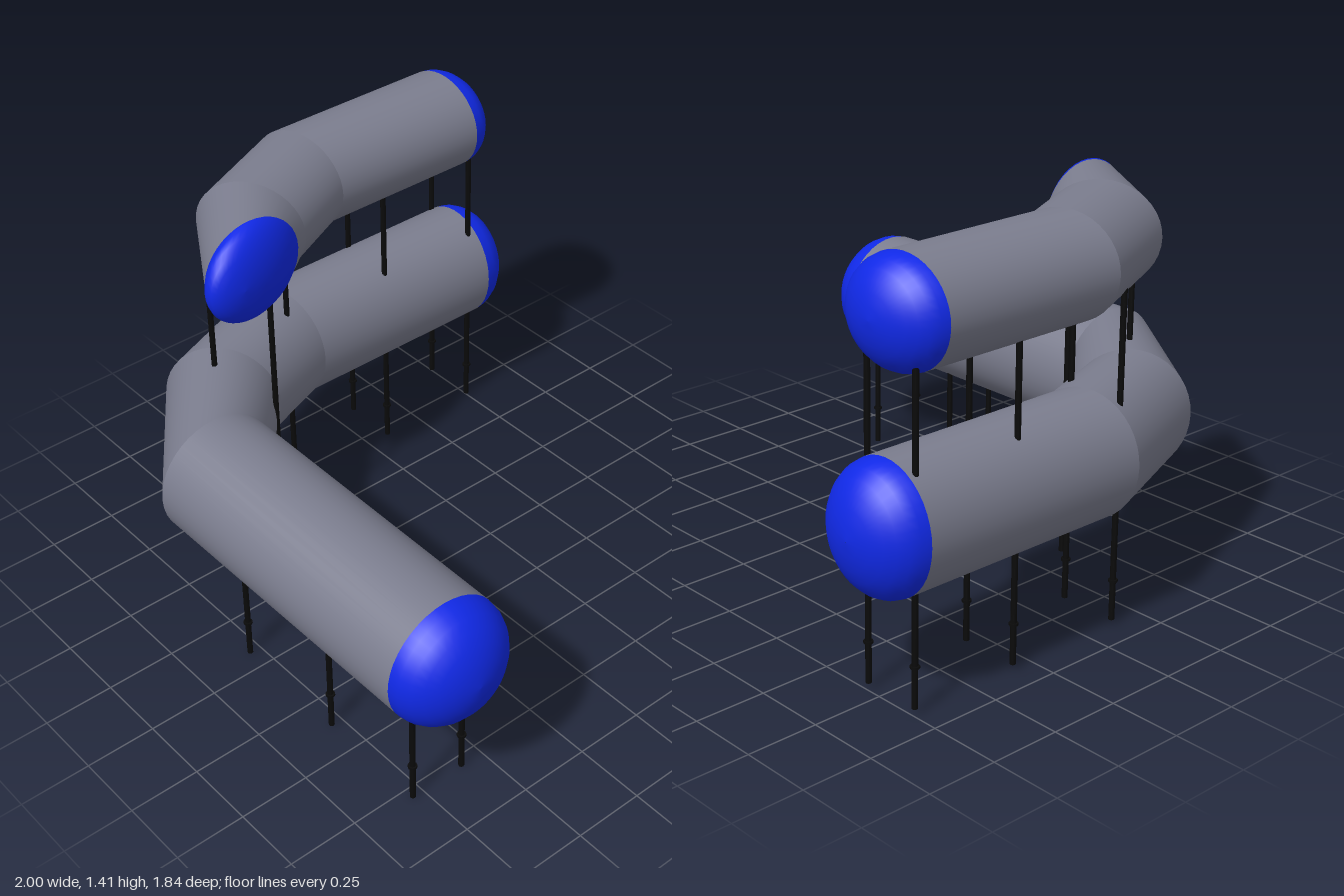
import * as THREE from 'three';

const SIDES = 40;
const mat = (name, color) => {
  const m = new THREE.MeshStandardMaterial({ color });
  m.name = name;
  return m;
};

// An upright elliptical ring spanning an outer and an inner [x, z] point.
function makeRing(outer, inner, y, height) {
  return {
    centre: new THREE.Vector3((outer[0] + inner[0]) / 2, y, (outer[1] + inner[1]) / 2),
    side: new THREE.Vector3((outer[0] - inner[0]) / 2, 0, (outer[1] - inner[1]) / 2),
    height,
  };
}

// Smooth skin through a list of rings.
function loft(rings) {
  const pos = [], index = [];
  rings.forEach((r, j) => {
    for (let i = 0; i < SIDES; i++) {
      const a = (i / SIDES) * Math.PI * 2;
      const p = r.centre.clone().addScaledVector(r.side, Math.cos(a));
      pos.push(p.x, p.y + Math.sin(a) * r.height, p.z);
      if (j === rings.length - 1) continue;
      const a0 = j * SIDES + i, b0 = j * SIDES + (i + 1) % SIDES;
      index.push(a0, a0 + SIDES, b0, b0, a0 + SIDES, b0 + SIDES);
    }
  });
  const g = new THREE.BufferGeometry();
  g.setAttribute('position', new THREE.Float32BufferAttribute(pos, 3));
  g.setIndex(index);
  g.computeVertexNormals();
  return g;
}

// Dome grown from a ring towards an apex offset.
function dome(ring, apex, atStart) {
  const rings = [], steps = 7;
  for (let k = 0; k <= steps; k++) {
    const t = (k / steps) * Math.PI / 2;
    const s = Math.max(Math.cos(t), 0.002);
    rings.push({
      centre: ring.centre.clone().addScaledVector(apex, Math.sin(t)),
      side: ring.side.clone().multiplyScalar(s),
      height: ring.height * s,
    });
  }
  return loft(atStart ? rings.reverse() : rings);
}

export function createModel() {
  const model = new THREE.Group();
  model.name = 'tubeSculpture';
  const grey = mat('slate grey', 0x7b7d8e);
  const blue = mat('bright blue', 0x1029e8);
  const black = mat('black', 0x0a0a0a);

  const add = (parent, name, geometry, material) => {
    const m = new THREE.Mesh(geometry, material);
    m.name = name;
    parent.add(m);
    return m;
  };

  // Bent tube with a domed cap on both ends
  function bentTube(name, y, height, points, rearApex, frontApex) {
    const group = new THREE.Group();
    group.name = name;
    const rings = points.map(([o, i]) => makeRing(o, i, y, height));
    for (let k = 0; k < rings.length - 1; k++) {
      add(group, 'tubeSection', loft([rings[k], rings[k + 1]]), grey);
    }
    add(group, 'rearCap', dome(rings[0], new THREE.Vector3(...rearApex), true), blue);
    add(group, 'frontCap', dome(rings[rings.length - 1], new THREE.Vector3(...frontApex), false), blue);
    model.add(group);
  }

  bentTube('lowerTube', 0.588, 0.222, [
    [[-1, -0.765], [-0.605, -0.775]],
    [[-1, 0.11], [-0.605, 0.02]],
    [[-0.81, 0.575], [-0.5, 0.3]],
    [[-0.335, 0.92], [-0.335, 0.47]],
    [[0.83, 0.92], [0.83, 0.48]],
  ], [0, 0, -0.15], [0.17, 0, 0]);

  bentTube('upperTube', 1.235, 0.18, [
    [[-0.99, -0.69], [-0.61, -0.71]],
    [[-0.99, 0], [-0.61, -0.09]],
    [[-0.81, 0.39], [-0.485, 0.17]],
    [[-0.45, 0.61], [-0.45, 0.23]],
  ], [0, 0, -0.13], [0.1, 0, 0.1]);

  // Thin supporting rods
  function rod(x, z, bottom, top) {
    const g = new THREE.CylinderGeometry(0.01, 0.01, top - bottom, 8);
    add(model, 'supportRod', g, black).position.set(x, (bottom + top) / 2, z);
    if (bottom < 0.1) {
      const collar = new THREE.CylinderGeometry(0.016, 0.016, 0.008, 8);
      add(model, 'rodCollar', collar, black).position.set(x, bottom + 0.14, z);
    }
  }
  for (const x of [-0.08, 0.37, 0.785]) {
    for (const z of [0.585, 0.79]) rod(x, z, 0, 0.5);
  }
  for (const x of [-0.9, -0.69]) {
    for (const z of [-0.74, -0.33, 0.12]) rod(x, z, 0.02, 1.17);
  }
  rod(-0.435, 0.37, 0.02, 1.17);
  rod(-0.585, 0.51, 0.6, 1.17);

  return model;
}
